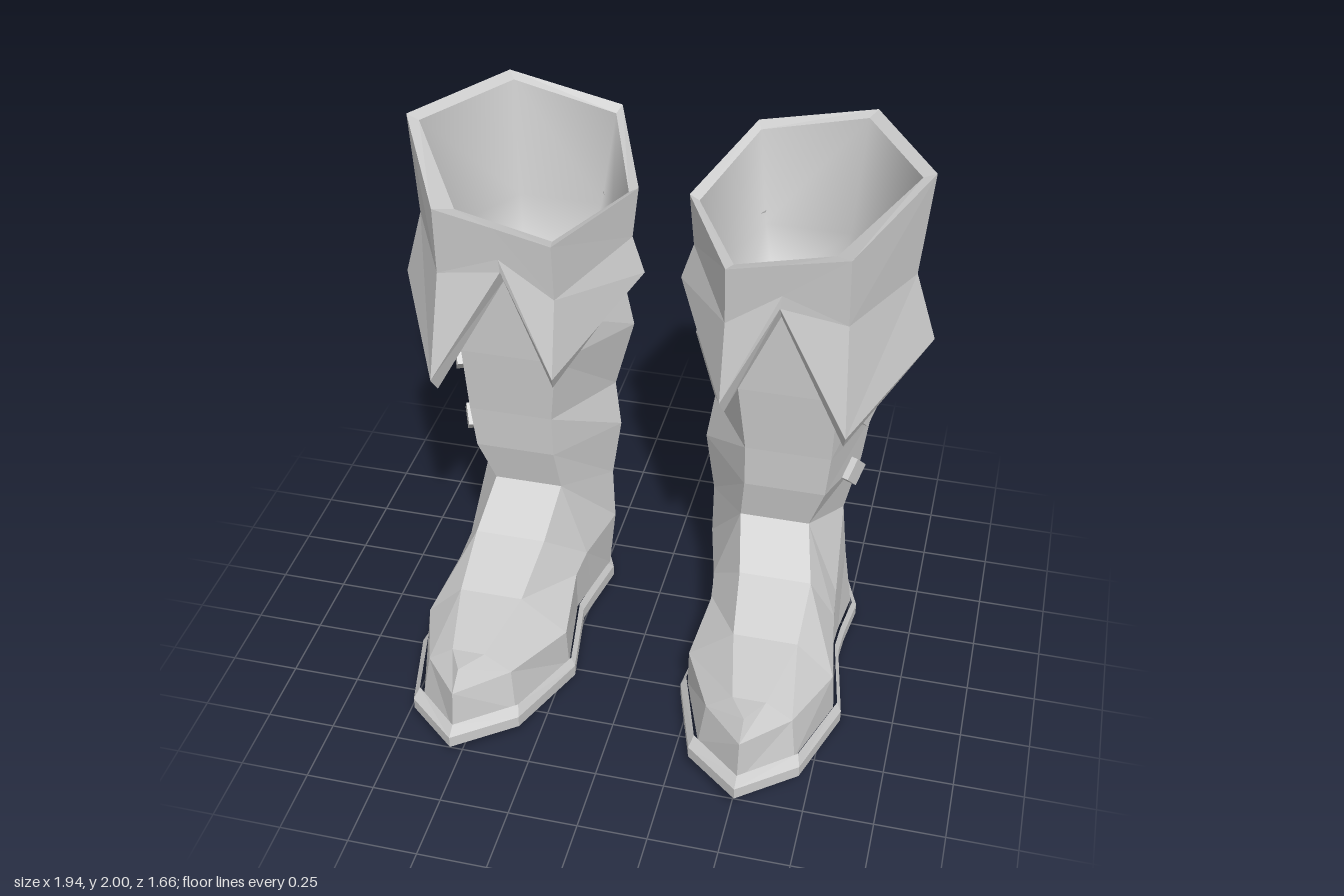
import * as THREE from 'three';

// Collects points and faces; rings run counter-clockwise seen from above.
class Skin {
  constructor() { this.pos = []; this.idx = []; }
  ring(points) {
    return points.map(p => { this.pos.push(...p); return this.pos.length / 3 - 1; });
  }
  band(a, b) {
    a.forEach((v, i) => {
      const j = (i + 1) % a.length;
      this.idx.push(v, a[j], b[j], v, b[j], b[i]);
    });
  }
  loft(rings) {
    const ids = rings.map(r => this.ring(r));
    for (let i = 1; i < ids.length; i++) this.band(ids[i - 1], ids[i]);
    return ids;
  }
  // Fills between the two halves of a ring, from the toe point to station "last".
  bridge(r, last, up) {
    const n = r.length;
    const tri = (a, b, c) => this.idx.push(...(up ? [a, b, c] : [a, c, b]));
    tri(r[0], r[1], r[n - 1]);
    for (let k = 1; k < last; k++) {
      tri(r[k], r[k + 1], r[n - k - 1]);
      tri(r[k], r[n - k - 1], r[n - k]);
    }
  }
  geometry() {
    const g = new THREE.BufferGeometry();
    g.setAttribute('position', new THREE.Float32BufferAttribute(this.pos, 3));
    g.setIndex(this.idx);
    return g;
  }
}

// Stations are [z, y, outer x, inner x], front to back; the toe is one point.
const outline = (toe, stations) => [
  ...(toe ? [toe] : []),
  ...stations.map(([z, y, o]) => [o, y, z]),
  ...stations.slice().reverse().map(([z, y, , i]) => [i, y, z]),
];

function soleGeometry() {
  const st = [
    [0.645, 0.06, 0.715, 0.315], [0.28, 0.0, 0.81, 0.205], [0, 0.035, 0.755, 0.245],
    [-0.12, 0.025, 0.76, 0.23], [-0.31, 0.005, 0.78, 0.205], [-0.64, 0.02, 0.65, 0.36],
  ];
  const raise = (dy, k) => outline(
    [0.517, 0.085 + dy, 0.825 - (1 - k) * 0.7],
    st.map(([z, y, o, i]) => [z * k, y + dy, 0.51 + (o - 0.51) * k, 0.51 + (i - 0.51) * k]));
  const s = new Skin();
  const ids = s.loft([raise(0, 1), raise(0.045, 1), raise(0.07, 0.94)]);
  s.bridge(ids[0], 6, false);
  return s.geometry();
}

function footGeometry() {
  const base = outline([0.517, 0.12, 0.785], [
    [0.6, 0.1, 0.69, 0.34], [0.27, 0.05, 0.78, 0.23], [0, 0.09, 0.73, 0.27],
    [-0.12, 0.085, 0.735, 0.25], [-0.31, 0.07, 0.755, 0.22], [-0.61, 0.08, 0.64, 0.37],
  ]);
  const panel = outline([0.517, 0.285, 0.76], [
    [0.57, 0.25, 0.67, 0.36], [0.28, 0.21, 0.77, 0.235], [0.02, 0.27, 0.73, 0.265],
    [-0.08, 0.3, 0.72, 0.25], [-0.31, 0.32, 0.72, 0.195], [-0.63, 0.32, 0.64, 0.38],
  ]);
  const ridge = outline([0.517, 0.335, 0.685], [
    [0.575, 0.32, 0.575, 0.455], [0.29, 0.35, 0.635, 0.4], [0.065, 0.45, 0.64, 0.375],
    [-0.08, 0.61, 0.6, 0.345], [-0.3, 0.54, 0.7, 0.2], [-0.565, 0.5, 0.63, 0.38],
  ]);
  const s = new Skin();
  const ids = s.loft([base, panel, ridge]);
  s.bridge(ids[2], 4, true);
  return s.geometry();
}

// Six-sided leg of the boot: front, side and back corners.
function shaftGeometry() {
  const s = new Skin();
  s.loft([
    [[-0.08, 0.61, 0.6, 0.345], [-0.3, 0.54, 0.7, 0.2], [-0.565, 0.5, 0.63, 0.38]],
    [[-0.045, 0.78, 0.655, 0.36], [-0.3, 0.78, 0.75, 0.165], [-0.61, 0.78, 0.64, 0.37]],
    [[-0.035, 0.95, 0.67, 0.36], [-0.32, 0.95, 0.77, 0.19], [-0.625, 0.95, 0.65, 0.36]],
    [[-0.01, 1.22, 0.68, 0.33], [-0.31, 1.23, 0.805, 0.115], [-0.67, 1.2, 0.67, 0.34]],
    [[0, 1.42, 0.67, 0.33], [-0.3, 1.42, 0.81, 0.15], [-0.67, 1.42, 0.67, 0.34]],
    [[0.01, 1.62, 0.67, 0.33], [-0.29, 1.62, 0.82, 0.15], [-0.67, 1.62, 0.67, 0.34]],
  ].map(st => outline(null, st)));
  return s.geometry();
}

const rimInside = [
  [0.48, 1.79, 0.04], [0.65, 1.83, 0.04], [0.875, 1.975, -0.28], [0.645, 1.98, -0.655],
  [0.265, 1.89, -0.655], [0.125, 1.79, -0.28], [0.31, 1.75, 0.04],
];

// Folded cuff: notch, outer front/side/back, inner back/side/front.
function cuffGeometry() {
  const s = new Skin();
  s.loft([
    [[0.49, 1.61, 0.01], [0.67, 1.6, 0.01], [0.82, 1.6, -0.29], [0.67, 1.6, -0.67],
      [0.34, 1.6, -0.67], [0.15, 1.6, -0.29], [0.33, 1.6, 0.01]],
    [[0.48, 1.585, 0.06], [0.725, 1.14, 0.13], [0.92, 1.31, -0.28], [0.645, 1.165, -0.77],
      [0.31, 1.27, -0.79], [0.11, 1.44, -0.27], [0.305, 1.2, 0.11]],
    [[0.48, 1.64, 0.1], [0.735, 1.2, 0.17], [0.97, 1.35, -0.285], [0.66, 1.21, -0.81],
      [0.29, 1.32, -0.84], [0.066, 1.48, -0.27], [0.295, 1.26, 0.15]],
    [[0.485, 1.69, 0.1], [0.71, 1.6, 0.09], [0.89, 1.62, -0.26], [0.67, 1.64, -0.71],
      [0.26, 1.62, -0.72], [0.11, 1.62, -0.27], [0.295, 1.55, 0.09]],
    [[0.495, 1.815, 0.11], [0.705, 1.86, 0.11], [0.92, 1.995, -0.28], [0.67, 2.0, -0.69],
      [0.25, 1.91, -0.69], [0.09, 1.81, -0.28], [0.295, 1.77, 0.11]],
    rimInside,
  ]);
  return s.geometry();
}

// Smooth hollow inside the boot top.
function liningGeometry() {
  const s = new Skin();
  const shrink = (k, y) => rimInside.map(([x, , z]) => [0.5 + (x - 0.5) * k, y, -0.3 + (z + 0.3) * k]);
  s.loft([rimInside, shrink(0.82, 1.55), shrink(0.6, 1.35), shrink(0.001, 1.3)]);
  return s.geometry();
}

// Diamond stud facing out from the outer front panel.
function studGeometry(x, y, z) {
  const g = new THREE.BoxGeometry(0.085, 0.085, 0.06);
  g.rotateZ(Math.PI / 4);
  g.rotateY(1.14);
  g.translate(x, y, z);
  return g;
}

export function createModel() {
  const leather = new THREE.MeshStandardMaterial({ color: 0xcccccc });
  leather.name = 'grey leather';
  const model = new THREE.Group();
  model.name = 'boots';

  for (const side of [1, -1]) {
    const boot = new THREE.Group();
    boot.name = side > 0 ? 'leftBoot' : 'rightBoot';
    const add = (name, geometry, smooth = false) => {
      if (side < 0) {
        geometry.scale(-1, 1, 1);
        geometry.setIndex(Array.from(geometry.index.array).reverse());
      }
      const g = smooth ? geometry : geometry.toNonIndexed();
      g.computeVertexNormals();
      const mesh = new THREE.Mesh(g, leather);
      mesh.name = name;
      boot.add(mesh);
    };
    add('sole', soleGeometry());
    add('foot', footGeometry());
    add('shaft', shaftGeometry());
    add('cuff', cuffGeometry());
    add('lining', liningGeometry(), true);
    add('upperStud', studGeometry(0.745, 1.06, -0.21));
    add('lowerStud', studGeometry(0.72, 0.78, -0.22));
    model.add(boot);
  }
  return model;
}
